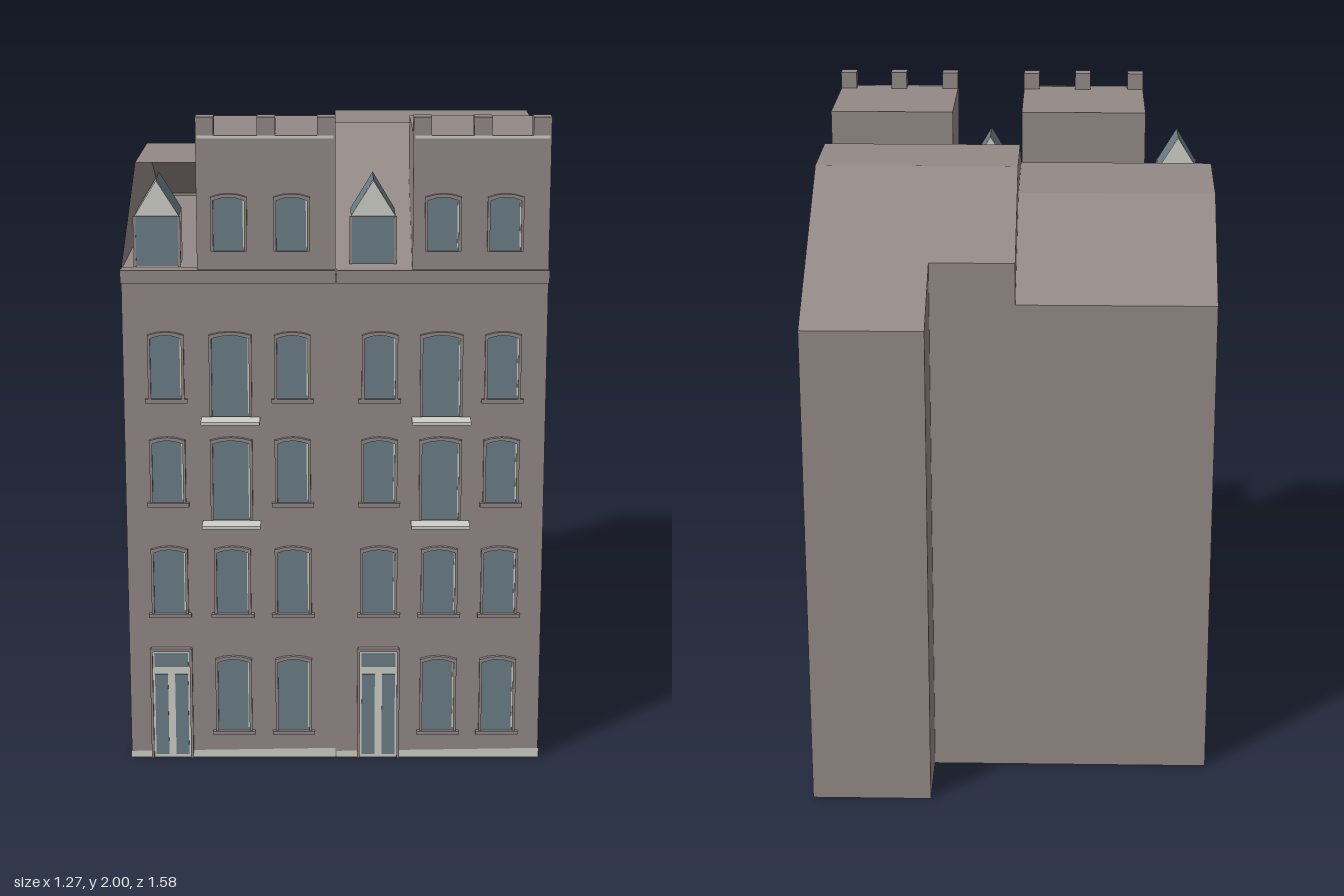
import * as THREE from 'three';

const wall = new THREE.MeshStandardMaterial({ color: 0x938986, side: THREE.DoubleSide });
wall.name = 'wall';
const glass = new THREE.MeshStandardMaterial({ color: 0x6b7f87 });
glass.name = 'glass';
const trim = new THREE.MeshStandardMaterial({ color: 0xd0cfc8 });
trim.name = 'trim';

const FRONT = 0.73;

function add(parent, name, geo, mat) {
  const m = new THREE.Mesh(geo, mat);
  m.name = name;
  parent.add(m);
  return m;
}

// Box given by its min and max corners
function box(parent, name, mat, x0, x1, y0, y1, z0, z1) {
  const m = add(parent, name, new THREE.BoxGeometry(x1 - x0, y1 - y0, z1 - z0), mat);
  m.position.set((x0 + x1) / 2, (y0 + y1) / 2, (z0 + z1) / 2);
  return m;
}

// Flat convex polygon, corners counter-clockwise from outside
function poly(parent, name, mat, pts) {
  const pos = [];
  for (let i = 1; i < pts.length - 1; i++) pos.push(...pts[0], ...pts[i], ...pts[i + 1]);
  const g = new THREE.BufferGeometry();
  g.setAttribute('position', new THREE.Float32BufferAttribute(pos, 3));
  g.computeVertexNormals();
  return add(parent, name, g, mat);
}

// Solid with a [z, y] profile swept from x0 to x1
function sweep(parent, name, mat, profile, x0, x1) {
  const s = new THREE.Shape(profile.map(([z, y]) => new THREE.Vector2(-z, y)));
  const g = new THREE.ExtrudeGeometry(s, { depth: x1 - x0, bevelEnabled: false });
  g.rotateY(Math.PI / 2);
  g.translate(x0, 0, 0);
  return add(parent, name, g, mat);
}

// Rectangle with a shallow arched head
function archShape(w, h, rise) {
  const s = new THREE.Shape();
  s.moveTo(-w / 2, 0);
  s.lineTo(w / 2, 0);
  s.lineTo(w / 2, h - rise);
  s.quadraticCurveTo(0, h + rise, -w / 2, h - rise);
  s.lineTo(-w / 2, 0);
  return s;
}

function windowUnit(parent, x, y0, y1, w, sill) {
  const g = new THREE.Group();
  g.name = 'window';
  g.position.set(x, y0, FRONT);
  parent.add(g);
  const h = y1 - y0;
  add(g, 'pane', new THREE.ShapeGeometry(archShape(w, h, 0.01), 4), glass).position.z = 0.003;
  const frame = archShape(w + 0.012, h + 0.006, 0.01);
  frame.holes.push(archShape(w - 0.004, h - 0.004, 0.01));
  add(g, 'frame', new THREE.ExtrudeGeometry(frame,
    { depth: 0.012, bevelEnabled: false, curveSegments: 4 }), wall);
  box(g, 'jambTrim', trim, w / 2 - 0.006, w / 2, 0.01, h - 0.012, 0, 0.006);
  if (sill) box(g, 'sill', wall, -w / 2 - 0.015, w / 2 + 0.015, -0.012, 0, 0, 0.016);
}

function door(parent, x) {
  const g = new THREE.Group();
  g.name = 'door';
  g.position.set(x, 0, FRONT);
  parent.add(g);
  const w = 0.122;
  box(g, 'doorPanel', trim, -w / 2, w / 2, 0, 0.35, 0, 0.004);
  for (const s of [-1, 1]) {
    box(g, 'doorGlass', glass, s * 0.031 - 0.02, s * 0.031 + 0.02, 0.01, 0.275, 0, 0.007);
    box(g, 'doorJamb', wall, s * w / 2 - 0.004, s * w / 2 + 0.004, 0, 0.36, 0, 0.014);
  }
  box(g, 'transom', glass, -0.052, 0.052, 0.3, 0.345, 0, 0.007);
  box(g, 'doorHead', wall, -w / 2, w / 2, 0.352, 0.362, 0, 0.014);
}

function dormer(parent, x) {
  const g = new THREE.Group();
  g.name = 'dormer';
  g.position.x = x;
  parent.add(g);
  const w = 0.066, y0 = 1.54, eave = 1.7, top = 1.81, zb = 0.55, zf = 0.685;
  const s = new THREE.Shape([[-w, y0], [w, y0], [w, eave], [0, top - 0.004], [-w, eave]]
    .map(p => new THREE.Vector2(...p)));
  const body = new THREE.ExtrudeGeometry(s, { depth: zf - zb, bevelEnabled: false });
  body.translate(0, 0, zb);
  add(g, 'dormerBody', body, trim);
  // Roof slopes
  poly(g, 'dormerRoof', glass, [[-w, eave, zb], [-w, eave, zf], [0, top, zf], [0, top, zb]]);
  poly(g, 'dormerRoof', glass, [[w, eave, zf], [w, eave, zb], [0, top, zb], [0, top, zf]]);
  box(g, 'dormerWindow', glass, -w + 0.004, w - 0.004, 1.552, eave, zf, zf + 0.004);
  for (const e of [-1, 1])
    box(g, 'dormerPost', wall, e * w - 0.004, e * w + 0.004, y0, eave, zf, zf + 0.006);
}

function tower(parent, x0, x1) {
  const g = new THREE.Group();
  g.name = 'parapetTower';
  parent.add(g);
  box(g, 'towerBlock', wall, x0, x1, 1.5, 1.945, 0.315, FRONT);
  box(g, 'towerEdge', trim, x0 + 0.005, x1 - 0.005, 1.938, 1.946, FRONT - 0.004, FRONT + 0.003);
  const w = 0.053;
  for (const c of [x0 + w / 2, (x0 + x1) / 2 + 0.002, x1 - w / 2])
    box(g, 'merlon', wall, c - w / 2, c + w / 2, 1.94, 2, 0.68, FRONT);
}

function leftHouse(parent) {
  const g = new THREE.Group();
  g.name = 'leftHouse';
  parent.add(g);
  // The outer wall runs slightly inwards towards the back
  const xo = z => -0.61 - 0.023 * (z + 0.555) / 1.285;
  const L = (z, y) => [xo(z), y, z], R = (z, y) => [0, y, z];
  poly(g, 'sideWall', wall, [L(-0.555, 0), L(FRONT, 0), L(FRONT, 1.545), L(0.26, 1.79), L(-0.14, 1.79), L(-0.555, 1.55)]);
  poly(g, 'frontWall', wall, [L(FRONT, 0), R(FRONT, 0), R(FRONT, 1.545), L(FRONT, 1.545)]);
  poly(g, 'backWall', wall, [R(-0.555, 0), L(-0.555, 0), L(-0.555, 1.55), R(-0.555, 1.55)]);
  poly(g, 'base', wall, [L(-0.555, 0), R(-0.555, 0), R(FRONT, 0), L(FRONT, 0)]);
  poly(g, 'backRoof', wall, [R(-0.555, 1.55), L(-0.555, 1.55), L(-0.14, 1.79), R(-0.14, 1.79)]);
  poly(g, 'flatRoof', wall, [L(0.26, 1.79), R(0.26, 1.79), R(-0.14, 1.79), L(-0.14, 1.79)]);
  poly(g, 'atticFloor', wall, [L(FRONT, 1.545), R(FRONT, 1.545), R(-0.54, 1.545), L(-0.54, 1.545)]);
}

function rightHouse(parent) {
  const g = new THREE.Group();
  g.name = 'rightHouse';
  parent.add(g);
  const front = [[FRONT, 0], [FRONT, 1.535], [0.09, 1.89], [-0.2, 1.89]];
  sweep(g, 'mainBody', wall, [...front, [-0.555, 1.68], [-0.555, 0]], 0, 0.26);
  sweep(g, 'rearWing', wall, [...front, [-0.79, 1.54], [-0.79, 0]], 0.26, 0.63);
}

export function createModel() {
  const root = new THREE.Group();
  root.name = 'townHouses';
  leftHouse(root);
  rightHouse(root);
  tower(root, -0.408, 0);
  tower(root, 0.228, 0.63);

  // Facade columns: door side, middle, outer
  for (const cols of [[-0.505, -0.313, -0.128], [0.133, 0.317, 0.5]]) {
    const [a, b, c] = cols;
    door(root, a);
    dormer(root, a === -0.505 ? -0.528 : 0.112);
    for (const x of [b, c]) {
      windowUnit(root, x, 0.09, 0.33, 0.1, true);
      windowUnit(root, x, 1.605, 1.77, 0.095, false);
    }
    for (const x of cols) windowUnit(root, x, 0.475, 0.685, 0.1, true);
    for (const [y0, y1] of [[0.83, 1.03], [1.155, 1.355]]) {
      windowUnit(root, a, y0, y1, 0.096, true);
      windowUnit(root, c, y0, y1, 0.096, true);
      windowUnit(root, b, y0 - 0.055, y1, 0.115, false);
      box(root, 'balcony', trim, b - 0.088, b + 0.088, y0 - 0.068, y0 - 0.058, FRONT, 0.79);
    }
  }

  // Cornice and plinth per house
  for (const [x0, x1] of [[-0.635, 0], [0.004, 0.632]]) {
    box(root, 'cornice', wall, x0, x1, 1.51, 1.548, FRONT - 0.04, FRONT + 0.015);
    const z = FRONT + 0.004;
    poly(root, 'plinth', trim, [[x0, 0, z], [x1, 0, z], [x1, 0.03, z], [x0, 0.02, z]]);
  }
  return root;
}
